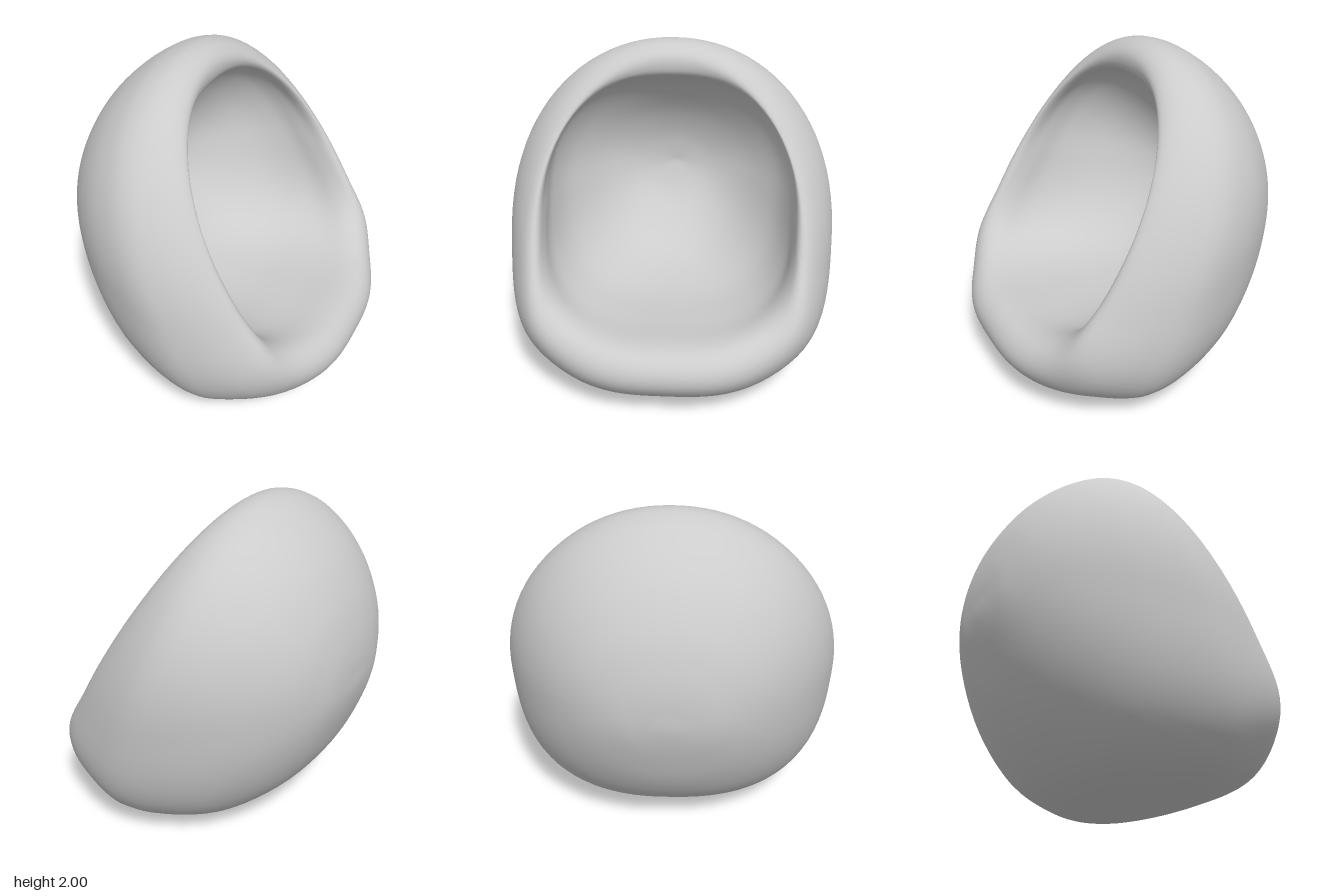
import * as THREE from 'three';

// Rings running from the back pole over the outside, round the rim and down into the hollow.
// Each: xTop, yTop, xMid, yMid, halfWidth, xBottom, yBottom
const RINGS = [
  // outer shell
  [-0.88, 1.10, -0.88, 1.10, 0.00, -0.88, 1.10],
  [-0.875, 1.20, -0.875, 1.08, 0.14, -0.875, 0.96],
  [-0.85, 1.34, -0.85, 1.06, 0.30, -0.82, 0.75],
  [-0.79, 1.52, -0.76, 1.04, 0.51, -0.72, 0.51],
  [-0.68, 1.71, -0.605, 1.00, 0.705, -0.55, 0.28],
  [-0.55, 1.85, -0.395, 0.96, 0.865, -0.30, 0.09],
  [-0.42, 1.945, -0.17, 0.92, 0.96, 0.00, 0.01],
  [-0.33, 1.985, 0.02, 0.88, 0.99, 0.25, 0.01],
  [-0.25, 2.00, 0.19, 0.86, 0.96, 0.50, 0.06],
  // rim
  [-0.17, 1.985, 0.34, 0.85, 0.905, 0.74, 0.15],
  [-0.115, 1.94, 0.44, 0.87, 0.84, 0.86, 0.27],
  [-0.10, 1.88, 0.455, 0.92, 0.785, 0.88, 0.38],
  [-0.12, 1.82, 0.37, 1.02, 0.745, 0.82, 0.47],
  [-0.20, 1.78, 0.20, 1.13, 0.73, 0.70, 0.50],
  // hollow with seat and backrest
  [-0.30, 1.71, 0.04, 1.12, 0.72, 0.45, 0.48],
  [-0.41, 1.59, -0.18, 1.09, 0.64, 0.10, 0.48],
  [-0.52, 1.43, -0.42, 1.08, 0.46, -0.25, 0.58],
  [-0.59, 1.25, -0.57, 1.07, 0.24, -0.51, 0.82],
  [-0.61, 1.06, -0.61, 1.06, 0.00, -0.61, 1.06],
];
const { smoothstep } = THREE.MathUtils;

// Catmull-Rom blend of ring parameters
function ringAt(t) {
  const last = RINGS.length - 1;
  const i = Math.min(Math.floor(t), last - 1), f = t - i;
  const [a, b, c, d] = [i - 1, i, i + 1, i + 2].map(k => RINGS[Math.max(0, Math.min(last, k))]);
  return b.map((_, k) => 0.5 * (2 * b[k] + (c[k] - a[k]) * f
    + (2 * a[k] - 5 * b[k] + 4 * c[k] - d[k]) * f * f
    + (3 * b[k] - a[k] - 3 * c[k] + d[k]) * f * f * f));
}

// Point on a ring: round above, squarer below, leaning along the tilted opening
function ringPoint(ring, t, angle) {
  const [xTop, yTop, xMid, yMid, width, xBot, yBot] = ring;
  const c = Math.cos(angle), s = Math.sin(angle);
  const inward = 1 - smoothstep(t, 13, 17);
  const n = 2.1 + inward * (c > 0 ? 0.4 * smoothstep(t, 10, 13) : 1.2 * smoothstep(t, 2, 8));
  const r = Math.pow(Math.abs(c) ** n + Math.abs(s) ** n, -1 / n);
  const u = c * r, z = width * s * r;
  if (u > 0) return [xMid + (xTop - xMid) * u, yMid + (yTop - yMid) * u, z];
  // below the middle the lean carries on smoothly, then kicks out to the front lip
  const drop = (xTop - xMid) * (yMid - yBot) / Math.max(yTop - yMid, 0.01);
  // the front lip bows back towards its corners
  const bow = 0.5 * smoothstep(t, 6.5, 9) * inward * u ** 4 * Math.abs(z) ** 3;
  return [xMid + drop * u + (xBot - xMid + drop) * u * u - bow, yMid + (yMid - yBot) * u, z];
}

function shellGeometry(steps = 5, sides = 96) {
  const count = (RINGS.length - 1) * steps;
  const pos = [...ringPoint(RINGS[0], 0, 0)], index = [];
  for (let j = 1; j < count; j++) {
    const t = j / steps, ring = ringAt(t);
    for (let i = 0; i < sides; i++) pos.push(...ringPoint(ring, t, i / sides * Math.PI * 2));
  }
  pos.push(...ringPoint(RINGS.at(-1), RINGS.length - 1, 0));
  const end = pos.length / 3 - 1;
  const id = (j, i) => j === 0 ? 0 : j === count ? end : 1 + (j - 1) * sides + i % sides;
  for (let j = 0; j < count; j++) {
    for (let i = 0; i < sides; i++) {
      const a = id(j, i), b = id(j, i + 1), c = id(j + 1, i), d = id(j + 1, i + 1);
      if (j > 0) index.push(a, b, c);
      if (j < count - 1) index.push(b, d, c);
    }
  }
  const geo = new THREE.BufferGeometry();
  geo.setAttribute('position', new THREE.Float32BufferAttribute(pos, 3));
  geo.setIndex(index);
  geo.computeVertexNormals();
  return geo;
}

export function createModel() {
  const group = new THREE.Group();
  group.name = 'eggChair';
  const shell = new THREE.Mesh(shellGeometry(), new THREE.MeshStandardMaterial({ color: 0xcccccc }));
  shell.name = 'seatShell';
  group.add(shell);
  return group;
}
